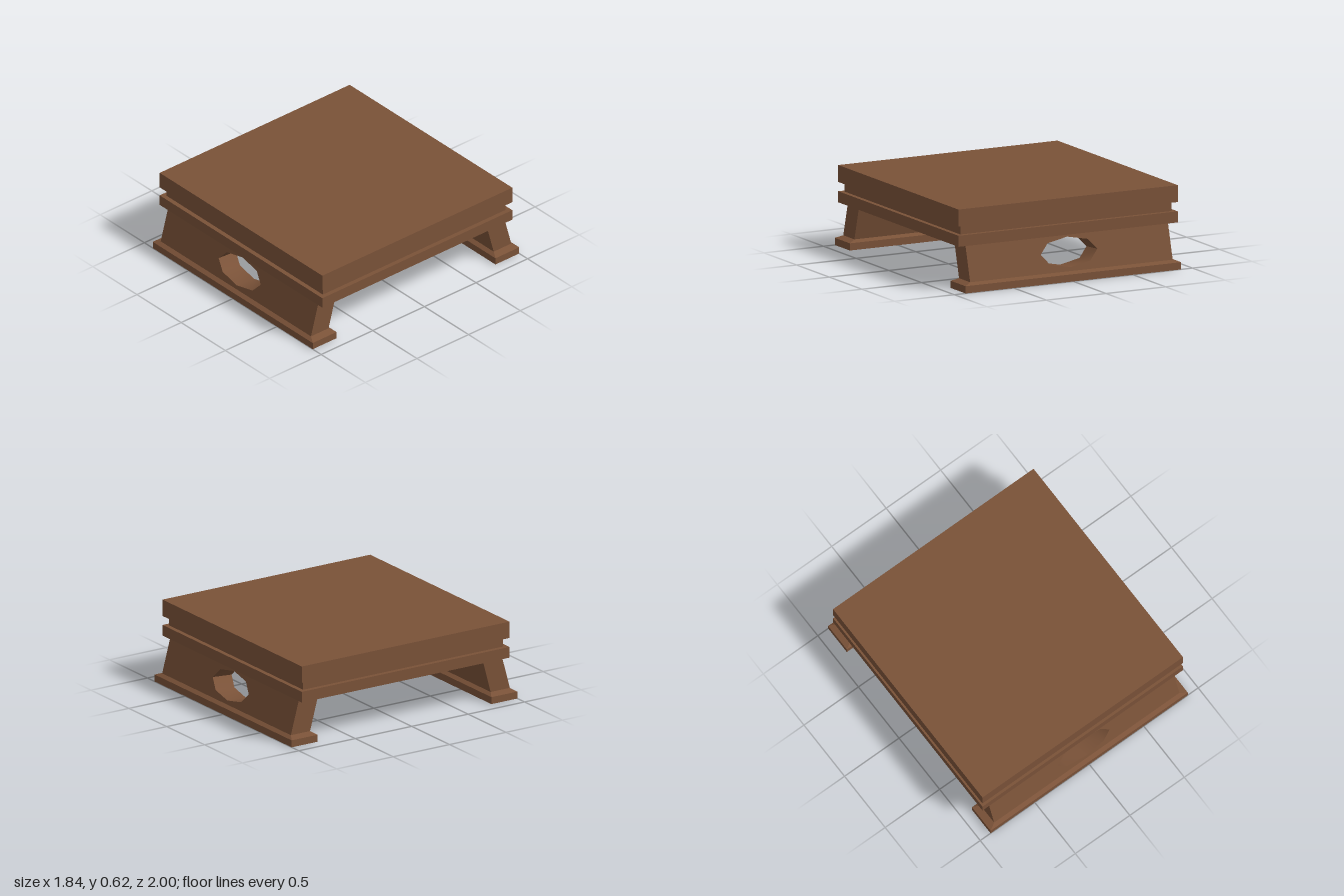
import * as THREE from 'three';
import { toCreasedNormals } from 'three/addons/utils/BufferGeometryUtils.js';

const wood = new THREE.MeshStandardMaterial({ color: 0x7a5238 });
wood.name = 'brownWood';

function addMesh(parent, name, geometry) {
  const mesh = new THREE.Mesh(geometry, wood);
  mesh.name = name;
  parent.add(mesh);
  return mesh;
}

// Box between two heights; the top face may be smaller than the bottom
function slab(w, d, y0, y1, topW = w, topD = d) {
  const g = new THREE.BoxGeometry(w, y1 - y0, d);
  const p = g.attributes.position;
  for (let i = 0; i < p.count; i++) {
    if (p.getY(i) > 0) {
      p.setX(i, Math.sign(p.getX(i)) * topW / 2);
      p.setZ(i, Math.sign(p.getZ(i)) * topD / 2);
    }
  }
  g.translate(0, (y0 + y1) / 2, 0);
  g.computeVertexNormals();
  return g;
}

// Leaning panel with an eight-sided oval hand hole
function panelGeometry() {
  const bottom = 0.073, top = 0.337, thick = 0.17;
  const shape = new THREE.Shape([
    new THREE.Vector2(-0.85, bottom), new THREE.Vector2(0.85, bottom),
    new THREE.Vector2(0.85, top), new THREE.Vector2(-0.85, top),
  ]);
  const hole = [];
  for (let i = 0; i < 8; i++) {
    const a = -i * Math.PI / 4;
    hole.push(new THREE.Vector2(0.238 * Math.cos(a), 0.21 + 0.109 * Math.sin(a)));
  }
  shape.holes.push(new THREE.Path(hole));
  const g = new THREE.ExtrudeGeometry(shape, { depth: thick, bevelEnabled: false });
  const p = g.attributes.position;
  for (let i = 0; i < p.count; i++) {
    // the hole dips slightly towards the inside
    if (Math.abs(p.getX(i)) < 0.3 && p.getZ(i) < thick / 2) p.setY(i, p.getY(i) - 0.012);
    // lean inward with height
    const t = (p.getY(i) - bottom) / (top - bottom);
    p.setZ(i, p.getZ(i) + 0.8 - 0.072 * t);
  }
  g.computeVertexNormals();
  return toCreasedNormals(g, Math.PI * 0.28);
}

export function createModel() {
  const model = new THREE.Group();
  model.name = 'lowTable';

  // Tabletop: two slabs with a recessed band between them
  addMesh(model, 'topSlab', slab(1.84, 1.84, 0.49, 0.617));
  addMesh(model, 'recessedBand', slab(1.77, 1.77, 0.42, 0.49));
  addMesh(model, 'lowerSlab', slab(1.84, 1.84, 0.337, 0.42));

  // Two end supports, front and back
  for (const [name, turn] of [['front', 0], ['back', Math.PI]]) {
    const leg = new THREE.Group();
    leg.name = name + 'Leg';
    leg.rotation.y = turn;
    addMesh(leg, 'panel', panelGeometry());
    addMesh(leg, 'foot', slab(1.81, 0.23, 0, 0.054)).position.z = 0.885;
    addMesh(leg, 'footBevel', slab(1.81, 0.23, 0.054, 0.073, 1.7, 0.17)).position.z = 0.885;
    model.add(leg);
  }
  return model;
}
